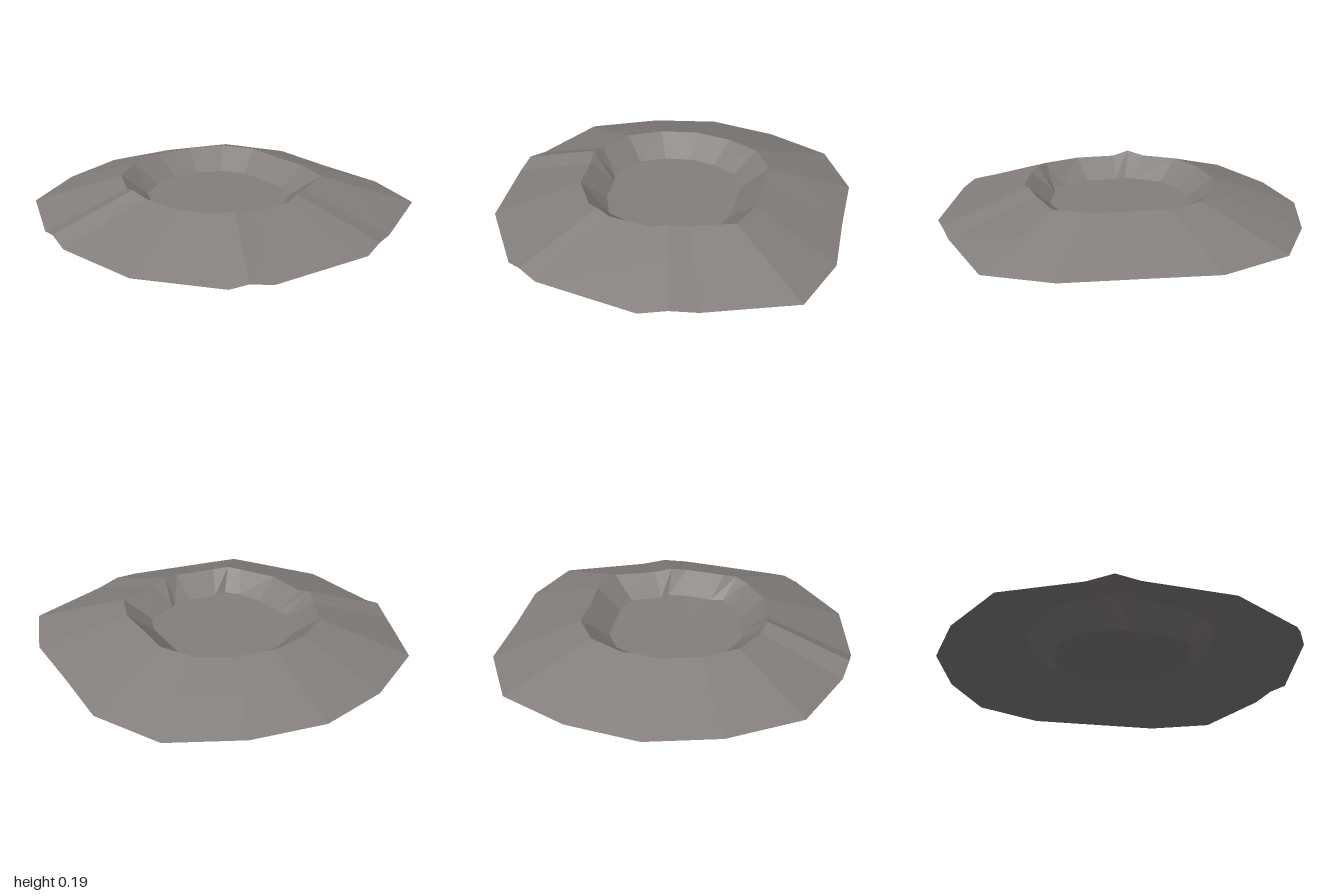
import * as THREE from 'three';

// Radial spokes: outer x,z | rim x,z | floor edge x,z | ridge strength
const SPOKES = [
  [-0.38, -0.96, -0.20, -0.51, -0.14, -0.37, 0.1],
  [0.00, -0.955, 0.00, -0.505, 0.00, -0.37, 0],
  [0.39, -0.96, 0.20, -0.51, 0.16, -0.37, 0],
  [0.74, -0.84, 0.39, -0.445, 0.28, -0.325, 0.1],
  [0.92, -0.38, 0.47, -0.22, 0.35, -0.16, 0],
  [0.965, -0.24, 0.505, -0.12, 0.385, -0.12, 0.5],
  [1.00, -0.10, 0.53, -0.03, 0.39, -0.02, 0],
  [0.90, 0.45, 0.49, 0.20, 0.36, 0.14, 0],
  [0.84, 0.56, 0.45, 0.28, 0.365, 0.21, 0.5],
  [0.79, 0.64, 0.40, 0.345, 0.30, 0.27, 0],
  [0.40, 0.90, 0.21, 0.46, 0.16, 0.33, 0],
  [-0.07, 0.955, -0.01, 0.48, -0.01, 0.345, 0],
  [-0.19, 0.94, -0.10, 0.495, -0.07, 0.36, 1],
  [-0.32, 0.905, -0.19, 0.465, -0.12, 0.34, 0],
  [-0.72, 0.72, -0.37, 0.37, -0.27, 0.265, 0.15],
  [-0.92, 0.35, -0.48, 0.19, -0.345, 0.13, 0],
  [-1.00, -0.03, -0.52, -0.02, -0.37, -0.02, 0],
  [-0.92, -0.42, -0.48, -0.23, -0.34, -0.17, 0],
  [-0.74, -0.78, -0.38, -0.41, -0.27, -0.30, 0.15],
];

// Faceted skin joining consecutive rings, outermost first
function loft(rings) {
  const pos = [];
  const tri = (...pts) => pts.forEach((p) => pos.push(p.x, p.y, p.z));
  for (let r = 0; r < rings.length - 1; r++) {
    const a = rings[r], b = rings[r + 1];
    for (let i = 0; i < a.length; i++) {
      const j = (i + 1) % a.length;
      tri(a[j], a[i], b[i]);
      if (!b[i].equals(b[j])) tri(a[j], b[i], b[j]);
    }
  }
  const geometry = new THREE.BufferGeometry();
  geometry.setAttribute('position', new THREE.Float32BufferAttribute(pos, 3));
  geometry.computeVertexNormals();
  return geometry;
}

export function createModel() {
  const group = new THREE.Group();
  group.name = 'crater';
  const rock = new THREE.MeshStandardMaterial({ color: 0x847f7c });
  rock.name = 'grey rock';
  rock.side = THREE.DoubleSide;
  rock.flatShading = true;

  const v = (x, y, z) => new THREE.Vector3(x, y, z);
  const outer = SPOKES.map((s) => v(s[0], 0.035 * s[6], s[1]));
  const rim = SPOKES.map((s) => v(s[2], 0.162 + 0.025 * s[6], s[3]));
  const edge = SPOKES.map((s) => v(s[4], 0.055, s[5]));
  const mid = rim.map((p, i) => p.clone().lerp(outer[i], 0.42));
  const centre = SPOKES.map(() => v(0.02, 0.045, -0.02));

  const add = (name, rings) => {
    const mesh = new THREE.Mesh(loft(rings), rock);
    mesh.name = name;
    group.add(mesh);
  };
  add('outerSlope', [outer, mid, rim]);
  add('innerWall', [rim, edge]);
  add('craterFloor', [edge, centre]);
  return group;
}
